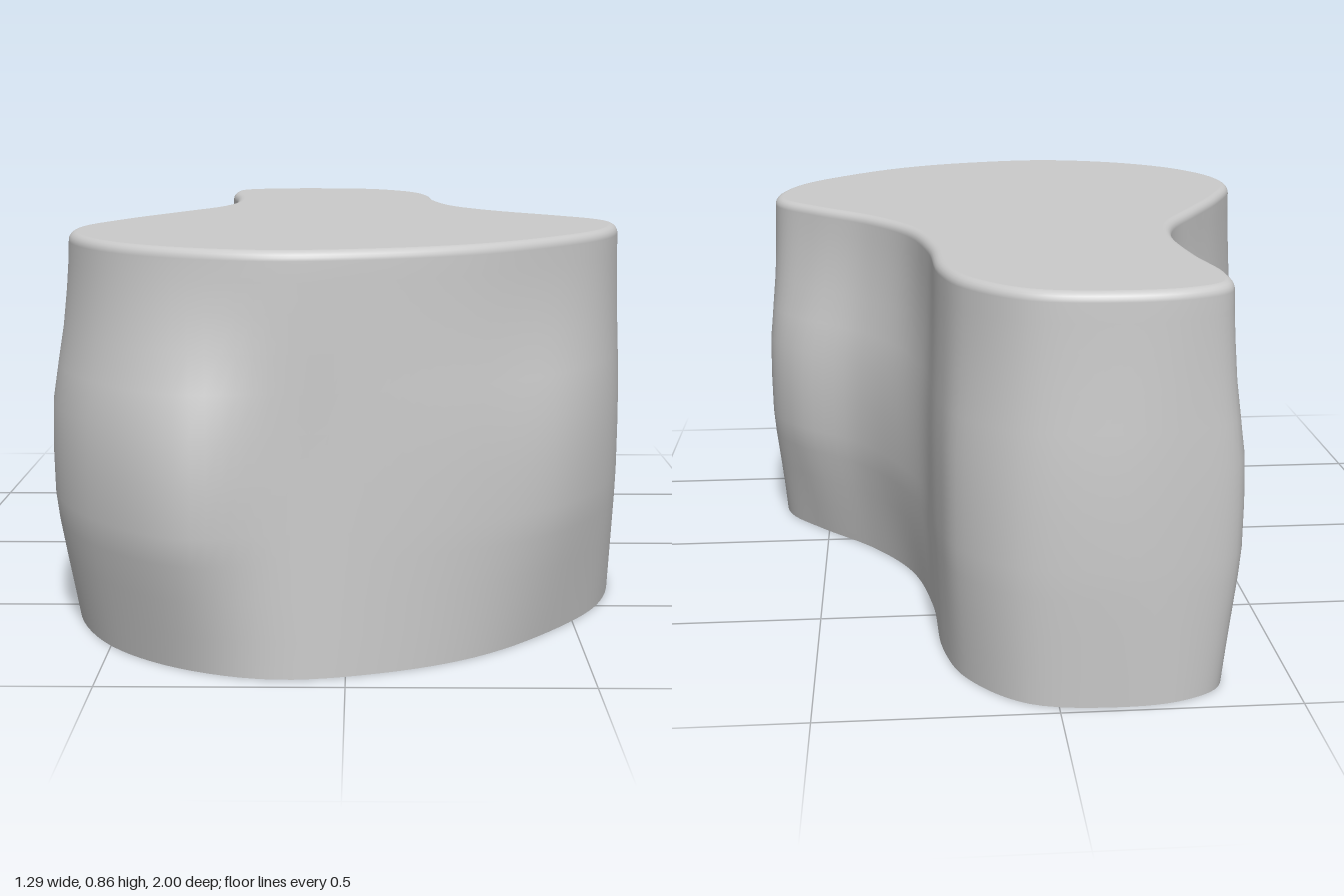
import * as THREE from 'three';

// Outline rows, starting at the back: x, z at the rim, then x, z where the wall bulges most
const OUTLINE = [
  [-0.13, -0.985, -0.10, -1.0], [0.06, -0.955, 0.08, -0.965], [0.18, -0.83, 0.2, -0.845],
  [0.225, -0.685, 0.235, -0.71], [0.24, -0.45, 0.26, -0.45], [0.285, -0.235, 0.33, -0.26],
  [0.38, -0.07, 0.425, -0.1], [0.515, 0.08, 0.575, 0.04], [0.605, 0.2, 0.64, 0.17],
  [0.62, 0.31, 0.63, 0.34], [0.57, 0.495, 0.585, 0.53], [0.44, 0.675, 0.46, 0.73],
  [0.27, 0.83, 0.28, 0.85], [0.08, 0.92, 0.08, 0.925], [-0.14, 0.96, -0.145, 0.965],
  [-0.34, 0.9, -0.33, 0.995], [-0.5, 0.77, -0.525, 0.84], [-0.595, 0.585, -0.635, 0.63],
  [-0.61, 0.4, -0.64, 0.45], [-0.54, 0.19, -0.57, 0.2], [-0.44, -0.02, -0.475, -0.035],
  [-0.35, -0.21, -0.395, -0.19], [-0.32, -0.37, -0.395, -0.34], [-0.33, -0.605, -0.375, -0.66],
  [-0.355, -0.79, -0.39, -0.86], [-0.34, -0.91, -0.365, -0.925], [-0.26, -0.965, -0.26, -0.975],
];
const HEIGHT = 0.86, EDGE = 0.02, COUNT = 162;

// Wall levels: height, share of the bulge, inset
const LEVELS = [
  [0, 0, 0], [0.08, 0.28, 0], [0.16, 0.56, 0], [0.24, 0.83, 0], [0.3, 0.97, 0], [0.4, 1, 0],
  [0.5, 0.93, 0], [0.58, 0.65, 0], [0.66, 0.35, 0], [0.74, 0.15, 0], [0.8, 0.04, 0],
];
for (let k = 0; k <= 5; k++) {
  const a = (k / 5) * Math.PI / 2;
  LEVELS.push([HEIGHT - EDGE + EDGE * Math.sin(a), 0, EDGE * (1 - Math.cos(a))]);
}

// Matching smooth loops through the rim points and the bulge points
function loop(col) {
  const curve = new THREE.CatmullRomCurve3(
    OUTLINE.map((r) => new THREE.Vector3(r[col], 0, r[col + 1])), true, 'centripetal');
  return Array.from({ length: COUNT }, (_, i) => curve.getPoint(i / COUNT));
}

export function createModel() {
  const group = new THREE.Group();
  const material = new THREE.MeshStandardMaterial({ color: 0xcccccc, side: THREE.DoubleSide });
  const rim = loop(0), bulge = loop(2);

  const ring = ([y, share, inset]) => rim.map((p, i) => {
    const t = rim[(i + 1) % COUNT].clone().sub(rim[(i + COUNT - 1) % COUNT]).normalize();
    const q = p.clone().lerp(bulge[i], share);
    return new THREE.Vector3(q.x - t.z * inset, y, q.z + t.x * inset);
  });
  const rings = LEVELS.map(ring);

  // Side wall with rounded upper edge, open underneath
  const index = [];
  for (let j = 0; j < rings.length - 1; j++) {
    for (let i = 0; i < COUNT; i++) {
      const n = (i + 1) % COUNT;
      const a = j * COUNT + i, b = j * COUNT + n, c = a + COUNT, d = b + COUNT;
      index.push(a, c, b, b, c, d);
    }
  }
  const wallGeometry = new THREE.BufferGeometry().setFromPoints(rings.flat());
  wallGeometry.setIndex(index);
  wallGeometry.computeVertexNormals();
  const wall = new THREE.Mesh(wallGeometry, material);
  wall.name = 'sideWall';

  // Flat top
  const shape = new THREE.Shape(rings.at(-1).map((p) => new THREE.Vector2(p.x, -p.z)));
  const top = new THREE.Mesh(new THREE.ShapeGeometry(shape).rotateX(-Math.PI / 2), material);
  top.position.y = HEIGHT;
  top.name = 'topSurface';

  group.add(wall, top);
  return group;
}
